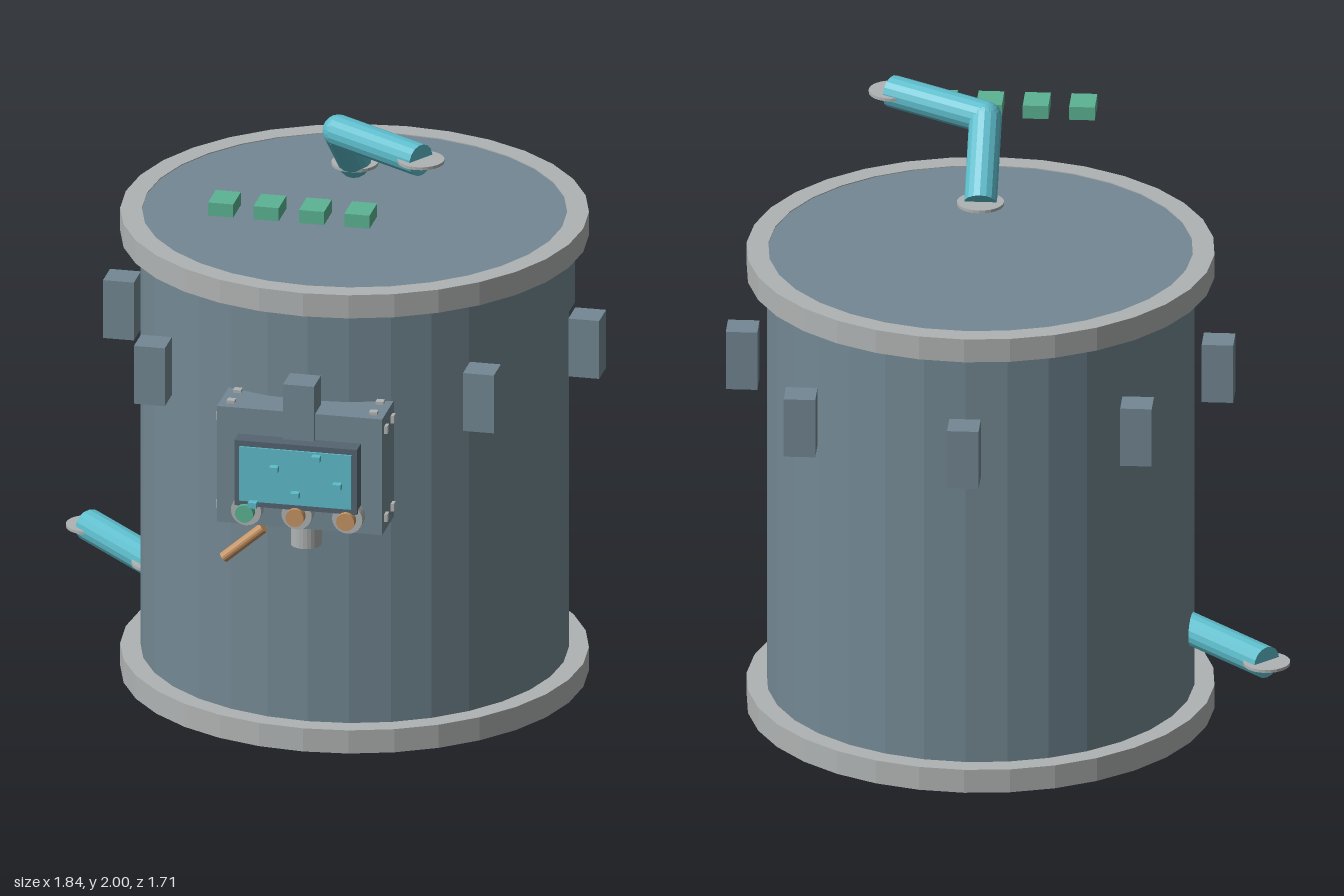
import * as THREE from 'three';

const mat = (name, color, flatShading = true) =>
  Object.assign(new THREE.MeshStandardMaterial({ color, flatShading }), { name });

export function createModel() {
  const root = new THREE.Group();
  root.name = 'storageTank';
  const slate = mat('slate steel', 0x738893);
  const grey = mat('light grey metal', 0xb0b3b3);
  const teal = mat('teal', 0x5dbccb);
  const green = mat('green', 0x5cb494);
  const copper = mat('copper', 0xc59362);
  const dark = mat('dark slate', 0x546570);

  const CX = 0.1, CZ = -0.035; // tank axis

  const add = (name, geo, material, x, y, z) => {
    const m = new THREE.Mesh(geo, material);
    m.name = name;
    m.position.set(x, y, z);
    root.add(m);
    return m;
  };
  const box = (name, material, w, h, d, x, y, z) =>
    add(name, new THREE.BoxGeometry(w, h, d), material, x, y, z);
  const cyl = (name, material, r, h, x, y, z, sides = 24) =>
    add(name, new THREE.CylinderGeometry(r, r, h, sides), material, x, y, z);
  // Straight rod running from point a to point b
  const rod = (name, material, r, a, b) => {
    const p = new THREE.Vector3(...a), q = new THREE.Vector3(...b);
    const d = q.clone().sub(p), mid = p.clone().add(q).multiplyScalar(0.5);
    const m = cyl(name, material, r, d.length(), mid.x, mid.y, mid.z, 16);
    m.quaternion.setFromUnitVectors(new THREE.Vector3(0, 1, 0), d.normalize());
    return m;
  };

  // Tank body with a ring at each end
  cyl('tankBody', slate, 0.69, 1.579, CX, 0.7925, CZ, 32);
  const ring = [[0.755, 0], [0.755, 0.08], [0.685, 0.08], [0.685, 0], [0.755, 0]]
    .map(([r, y]) => new THREE.Vector2(r, y));
  add('bottomRim', new THREE.LatheGeometry(ring, 32), grey, CX, 0, CZ);
  add('topRim', new THREE.LatheGeometry(ring, 32), grey, CX, 1.505, CZ);

  // Eight square-set lugs around the tank
  for (let i = 0; i < 8; i++) {
    const a = (i * Math.PI) / 4;
    box('lug', slate, 0.102, 0.2, 0.102,
      CX + 0.768 * Math.sin(a), 1.19, CZ + 0.768 * Math.cos(a));
  }

  // Control box with bolts on its edges
  box('controlBox', slate, 0.545, 0.4, 0.2, CX, 0.99, 0.668);
  for (const s of [-1, 1]) {
    for (const z of [0.725, 0.63]) {
      for (const t of [-1, 1]) {
        box('sideBolt', grey, 0.02, 0.026, 0.026, CX + s * 0.273, 0.99 + t * 0.152, z);
        box('edgeBolt', grey, 0.026, 0.02, 0.026, CX + s * 0.235, 0.99 + t * 0.2, z);
      }
    }
  }

  // Display with small raised keys
  box('displayHousing', dark, 0.405, 0.225, 0.06, CX, 0.988, 0.796);
  box('screen', teal, 0.37, 0.187, 0.008, CX, 0.988, 0.828);
  [0.89, 1.018, 0.934, 1.066, 0.976].forEach((y, i) =>
    box('screenKey', teal, 0.028, 0.019, 0.03, -0.037 + i * 0.0695, y, 0.842));

  // Push buttons
  [green, copper, copper].forEach((m, i) => {
    const x = CX + (i - 1) * 0.167;
    cyl('buttonBase', grey, 0.05, 0.05, x, 0.853, 0.787).rotation.x = Math.PI / 2;
    cyl('buttonCap', m, 0.03, 0.035, x, 0.853, 0.824).rotation.x = Math.PI / 2;
  });

  // Drain stub and lever below the control box
  cyl('drainStub', grey, 0.05, 0.12, CX, 0.76, 0.67);
  rod('lever', copper, 0.018, [-0.172, 0.63, 0.672], [-0.04, 0.745, 0.672]);

  // Bent pipe over the lid, floating clear of it
  const inlet = [0.1, 1.746, -0.04], bend = [0.1, 1.946, 0.195], outlet = [0.415, 1.946, 0.39];
  rod('topPipeRiser', teal, 0.053, inlet, bend);
  rod('topPipeArm', teal, 0.053, bend, outlet);
  add('topPipeElbow', new THREE.SphereGeometry(0.053, 16, 12), teal, ...bend);

  // Outlet pipe low on the right side
  const sideStart = [-0.565, 0.295, -0.063], sideEnd = [-0.845, 0.295, -0.343];
  rod('sidePipe', teal, 0.053, sideStart, sideEnd);

  // Thin horizontal flanges at the pipe ends
  for (const p of [inlet, outlet, sideStart, sideEnd]) cyl('pipeFlange', grey, 0.076, 0.01, ...p);

  // Row of indicator blocks above the front of the lid
  for (let i = 0; i < 4; i++)
    box('indicatorBlock', green, 0.083, 0.045, 0.113, -0.187 + i * 0.15, 1.822, 0.595);

  return root;
}
